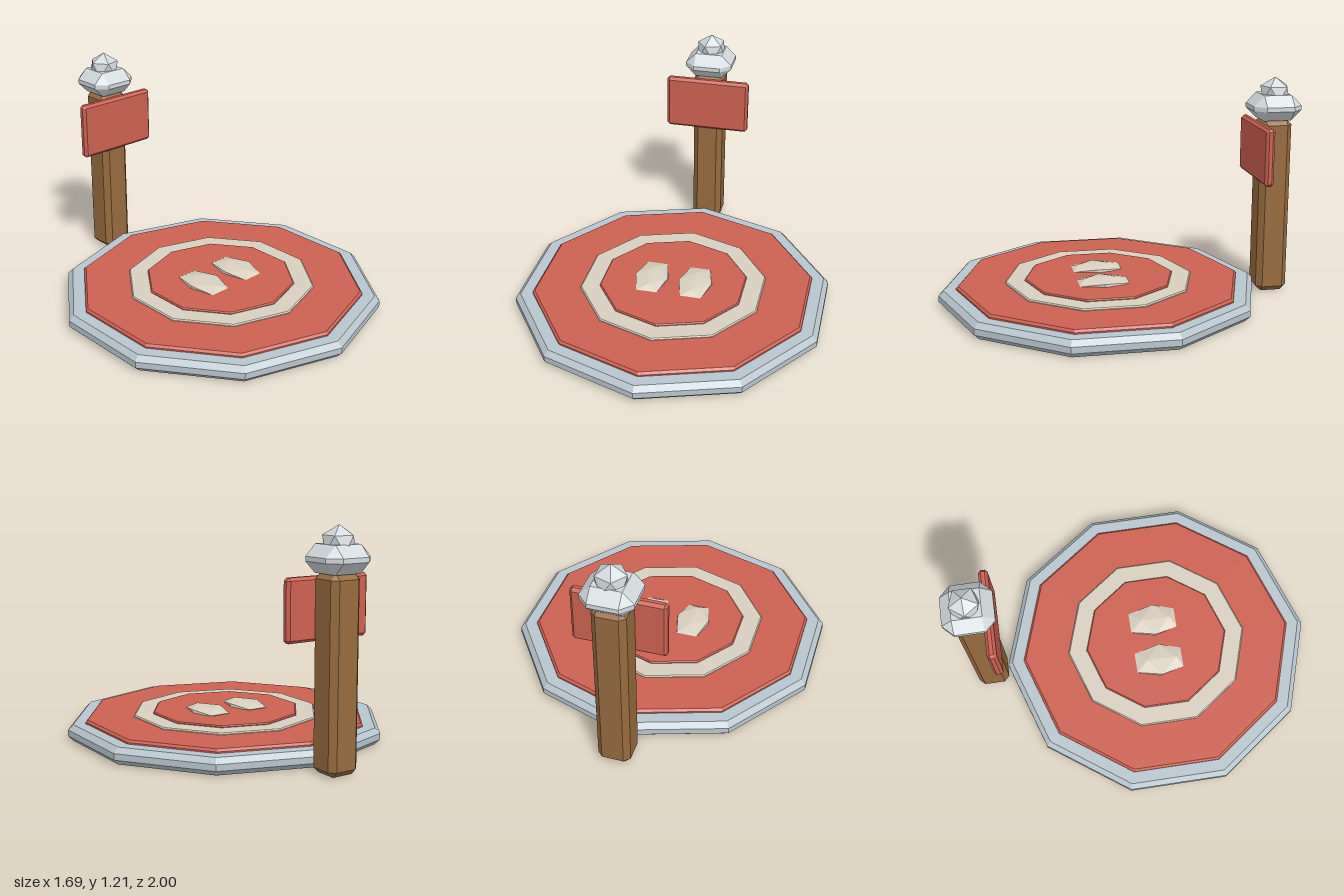
import * as THREE from 'three';
import { ConvexGeometry } from 'three/addons/geometries/ConvexGeometry.js';

const mat = (color) => new THREE.MeshStandardMaterial({ color, flatShading: true });
const STONE = mat(0xb9c5cd), RED = mat(0xcc6152), CREAM = mat(0xd8d0c0);
const WOOD = mat(0x966b3f), CAP = mat(0xd3dadd);

// Box whose twelve edges are all cut by a flat chamfer c
function chamferBox(w, h, d, c) {
  const pts = [];
  for (const sx of [-1, 1]) for (const sy of [-1, 1]) for (const sz of [-1, 1]) {
    const x = w / 2, y = h / 2, z = d / 2;
    pts.push(
      new THREE.Vector3(sx * x, sy * (y - c), sz * (z - c)),
      new THREE.Vector3(sx * (x - c), sy * y, sz * (z - c)),
      new THREE.Vector3(sx * (x - c), sy * (y - c), sz * z));
  }
  return new ConvexGeometry(pts);
}

// Ten-sided slab with chamfered rims, a corner facing front
function slab(r, y0, y1, c, cy = c) {
  const profile = [[0, y0], [r - c, y0], [r, y0 + cy], [r, y1 - cy], [r - c, y1], [0, y1]];
  return new THREE.LatheGeometry(profile.map(([x, y]) => new THREE.Vector2(x, y)), 10);
}

export function createModel() {
  const model = new THREE.Group();
  const add = (name, geometry, material, x, y, z) => {
    const mesh = new THREE.Mesh(geometry, material);
    mesh.name = name;
    mesh.position.set(x, y, z);
    model.add(mesh);
    return mesh;
  };

  // Stepped target platform
  const cz = 0.114;
  add('platformBase', slab(0.886, 0, 0.09, 0.028), STONE, 0, 0, cz);
  add('outerDisc', slab(0.79, 0.04, 0.11, 0.012), RED, 0, 0, cz);
  add('creamRing', slab(0.523, 0.05, 0.12, 0.006), CREAM, 0, 0, cz);
  add('centreDisc', slab(0.415, 0.06, 0.13, 0.006), RED, 0, 0, cz);

  // Pair of faceted foot markers
  for (const side of [-1, 1]) {
    const foot = new THREE.IcosahedronGeometry(1, 0).rotateZ(Math.PI / 2)
      .rotateX(0.12).scale(0.11, 0.028, 0.162);
    add(side > 0 ? 'leftFootMarker' : 'rightFootMarker', foot, CREAM, side * 0.125, 0.132, 0.112);
  }

  // Post with sign board
  const pz = -0.864;
  add('post', chamferBox(0.175, 0.985, 0.175, 0.03), WOOD, 0, 0.4925, pz);
  add('signBoard', chamferBox(0.49, 0.315, 0.05, 0.015), RED, 0, 0.807, -0.777);

  // Post cap and faceted finial
  add('postCap', chamferBox(0.27, 0.14, 0.27, 0.058), CAP, 0, 1.05, pz);
  const finial = new THREE.IcosahedronGeometry(0.09, 0)
    .rotateZ(Math.atan(2 / (1 + Math.sqrt(5))));
  add('finial', finial, CAP, 0, 1.122, pz - 0.006);

  return model;
}
